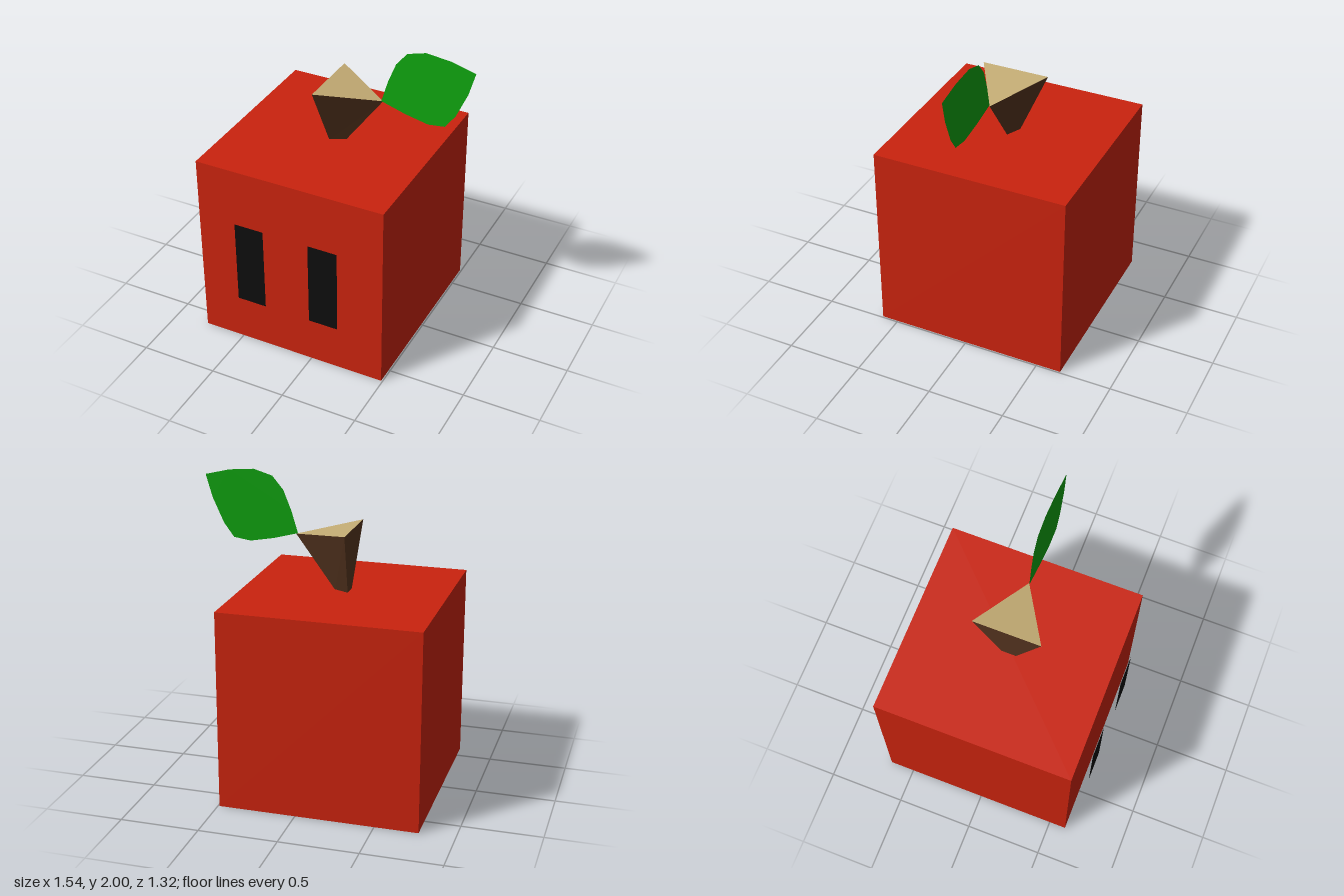
import * as THREE from 'three';

const flat = (name, color, side = THREE.FrontSide) => {
  const m = new THREE.MeshStandardMaterial({ color, side });
  m.name = name;
  return m;
};

// Flat-shaded geometry from a list of triangles of Vector3 corners
function facets(triangles) {
  const g = new THREE.BufferGeometry().setFromPoints(triangles.flat());
  g.computeVertexNormals();
  return g;
}

export function createModel() {
  const model = new THREE.Group();
  model.name = 'cubeApple';
  const red = flat('appleRed', 0xca230e);
  const black = flat('eyeBlack', 0x0d0d0d);
  const brown = flat('barkBrown', 0x573620);
  const tan = flat('cutWoodTan', 0xc4ac74);
  const green = flat('leafGreen', 0x0fa20f, THREE.DoubleSide);

  const add = (name, geometry, material, x = 0, y = 0, z = 0) => {
    const mesh = new THREE.Mesh(geometry, material);
    mesh.name = name;
    mesh.position.set(x, y, z);
    model.add(mesh);
  };

  // Cube body
  add('body', new THREE.BoxGeometry(1.265, 1.27, 1.27), red, -0.1425, 0.635, -0.025);

  // Eyes: flat panels standing just off the front face
  for (const [name, x] of [['rightEye', -0.393], ['leftEye', 0.112]]) {
    add(name, new THREE.PlaneGeometry(0.197, 0.572), black, x, 0.635, 0.66);
  }

  // Three-sided stem, flaring up to a slanted cut
  const v = (x, y, z) => new THREE.Vector3(x, y, z);
  const top = [v(0.18, 1.608, -0.026), v(-0.19, 1.672, -0.243), v(-0.19, 1.672, 0.192)];
  const foot = [v(-0.07, 1.268, -0.026), v(-0.165, 1.268, -0.072), v(-0.165, 1.268, 0.022)];
  const sides = [];
  for (let i = 0; i < 3; i++) {
    const j = (i + 1) % 3;
    sides.push([foot[i], top[j], top[i]], [foot[i], foot[j], top[j]]);
  }
  add('stem', facets(sides), brown);
  add('stemCut', facets([top]), tan);

  // Leaf: thin pointed blade, leaning slightly back about its midrib
  const outline = [
    [0.17, 1.61], [0.21, 1.75], [0.26, 1.88], [0.33, 1.965], [0.45, 2.0], [0.61, 1.985],
    [0.77, 1.945], [0.73, 1.8], [0.66, 1.64], [0.595, 1.55], [0.485, 1.535], [0.33, 1.565],
  ].map(([x, y]) => new THREE.Vector2(x, y));
  const leaf = new THREE.ShapeGeometry(new THREE.Shape(outline));
  const p = leaf.attributes.position;
  for (let i = 0; i < p.count; i++) {
    const midrib = 1.61 + (p.getX(i) - 0.17) * 0.558;
    p.setZ(i, -0.021 - 0.04 * (p.getY(i) - midrib));
  }
  leaf.computeVertexNormals();
  add('leaf', leaf, green);

  return model;
}
